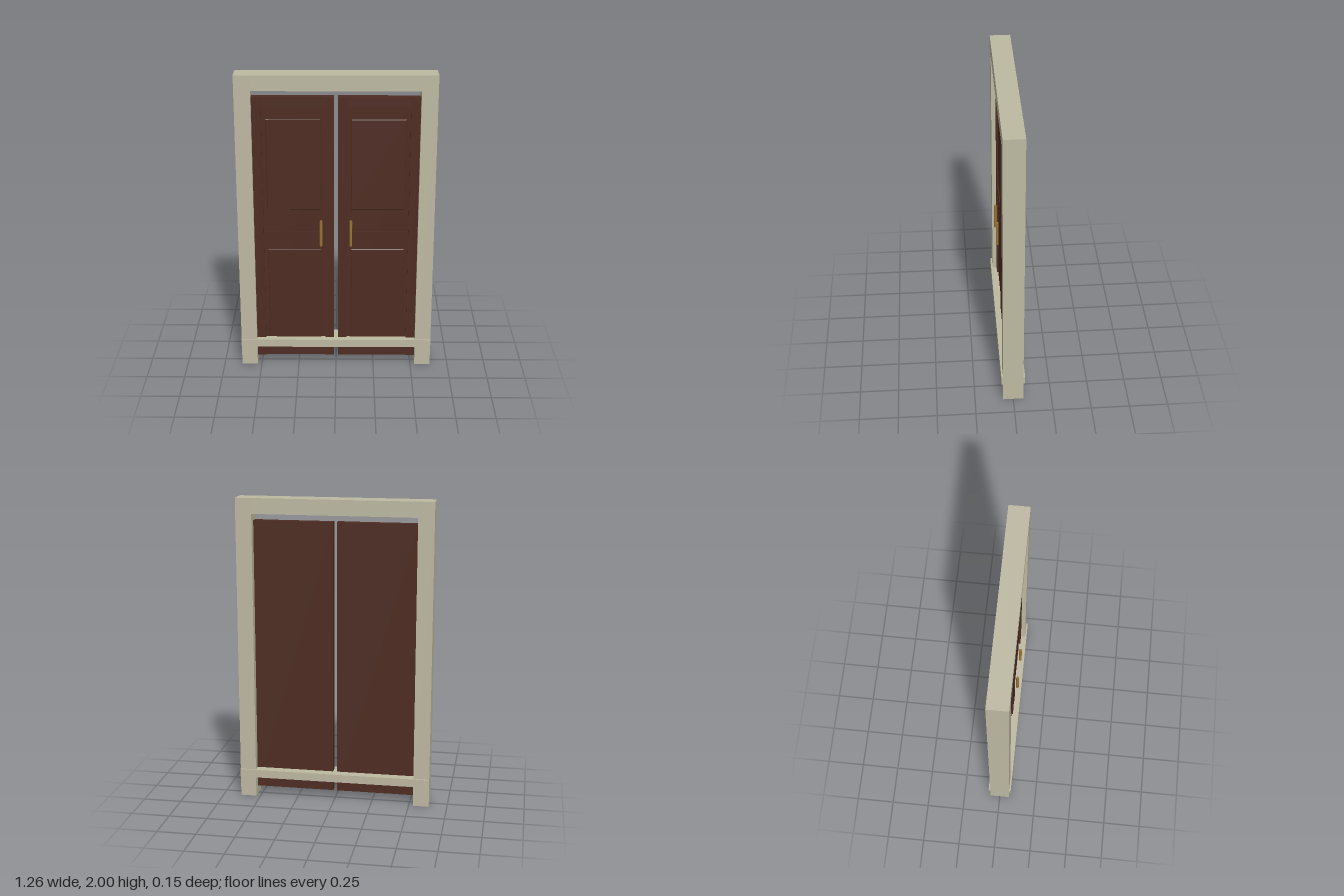
import * as THREE from 'three';

const mat = (name, color) => {
  const m = new THREE.MeshStandardMaterial({ color });
  m.name = name;
  return m;
};

export function createModel() {
  const stone = mat('paleStone', 0xbdb9a2);
  const wood = mat('darkWood', 0x4e2c22);
  const brass = mat('brass', 0x9a7434);
  const model = new THREE.Group();
  model.name = 'doubleDoor';

  // Box given by its extents on each axis
  const box = (parent, name, material, [x0, x1], [y0, y1], [z0, z1]) => {
    const mesh = new THREE.Mesh(new THREE.BoxGeometry(x1 - x0, y1 - y0, z1 - z0), material);
    mesh.position.set((x0 + x1) / 2, (y0 + y1) / 2, (z0 + z1) / 2);
    mesh.name = name;
    parent.add(mesh);
  };

  // Raised panel with bevelled edges
  const panel = (parent, name, [x0, x1], [y0, y1], z, rise) => {
    const b = 0.006;
    const shape = new THREE.Shape([
      new THREE.Vector2(x0 + b, y0 + b), new THREE.Vector2(x1 - b, y0 + b),
      new THREE.Vector2(x1 - b, y1 - b), new THREE.Vector2(x0 + b, y1 - b),
    ]);
    const geo = new THREE.ExtrudeGeometry(shape, {
      depth: rise, bevelEnabled: true, bevelThickness: b, bevelSize: b, bevelSegments: 1,
    });
    const mesh = new THREE.Mesh(geo, wood);
    mesh.position.z = z - b;
    mesh.name = name;
    parent.add(mesh);
  };

  // Frame: posts, lintel and threshold bar
  const depth = [-0.066, 0.066];
  box(model, 'leftPost', stone, [0.528, 0.632], [0, 2], depth);
  box(model, 'rightPost', stone, [-0.632, -0.528], [0, 2], depth);
  box(model, 'lintel', stone, [-0.528, 0.528], [1.9, 2], depth);
  box(model, 'thresholdBar', stone, [-0.632, 0.632], [0.135, 0.188], [-0.077, 0.077]);

  // Door leaves, mirrored about the centre
  for (const [side, s] of [['left', 1], ['right', -1]]) {
    const leaf = new THREE.Group();
    leaf.name = side + 'Leaf';
    model.add(leaf);
    const span = (a, b) => (s > 0 ? [a, b] : [-b, -a]);
    const height = [0.055, 1.853];

    box(leaf, 'leafSlab', wood, span(0.0125, 0.528), height, [-0.016, 0.024]);
    box(leaf, 'innerStile', wood, span(0.0125, 0.07), height, [0.02, 0.037]);
    box(leaf, 'outerStile', wood, span(0.468, 0.528), height, [0.02, 0.037]);

    // Horizontal rails
    for (const [name, y] of [['topRail', [1.79, 1.853]], ['middleRail', [0.888, 0.952]], ['bottomRail', [0.055, 0.122]]])
      box(leaf, name, wood, span(0.07, 0.468), y, [0.02, 0.032]);

    // Raised panels
    panel(leaf, 'upperPanel', span(0.095, 0.444), [1.1, 1.71], 0.024, 0.004);
    panel(leaf, 'lowerPanel', span(0.095, 0.444), [0.16, 0.83], 0.024, 0.004);

    // Upright pull handle
    const handle = new THREE.Mesh(new THREE.CylinderGeometry(0.009, 0.009, 0.174, 16), brass);
    handle.position.set(s * 0.096, 0.955, 0.067);
    handle.name = side + 'Handle';
    model.add(handle);
  }
  return model;
}
